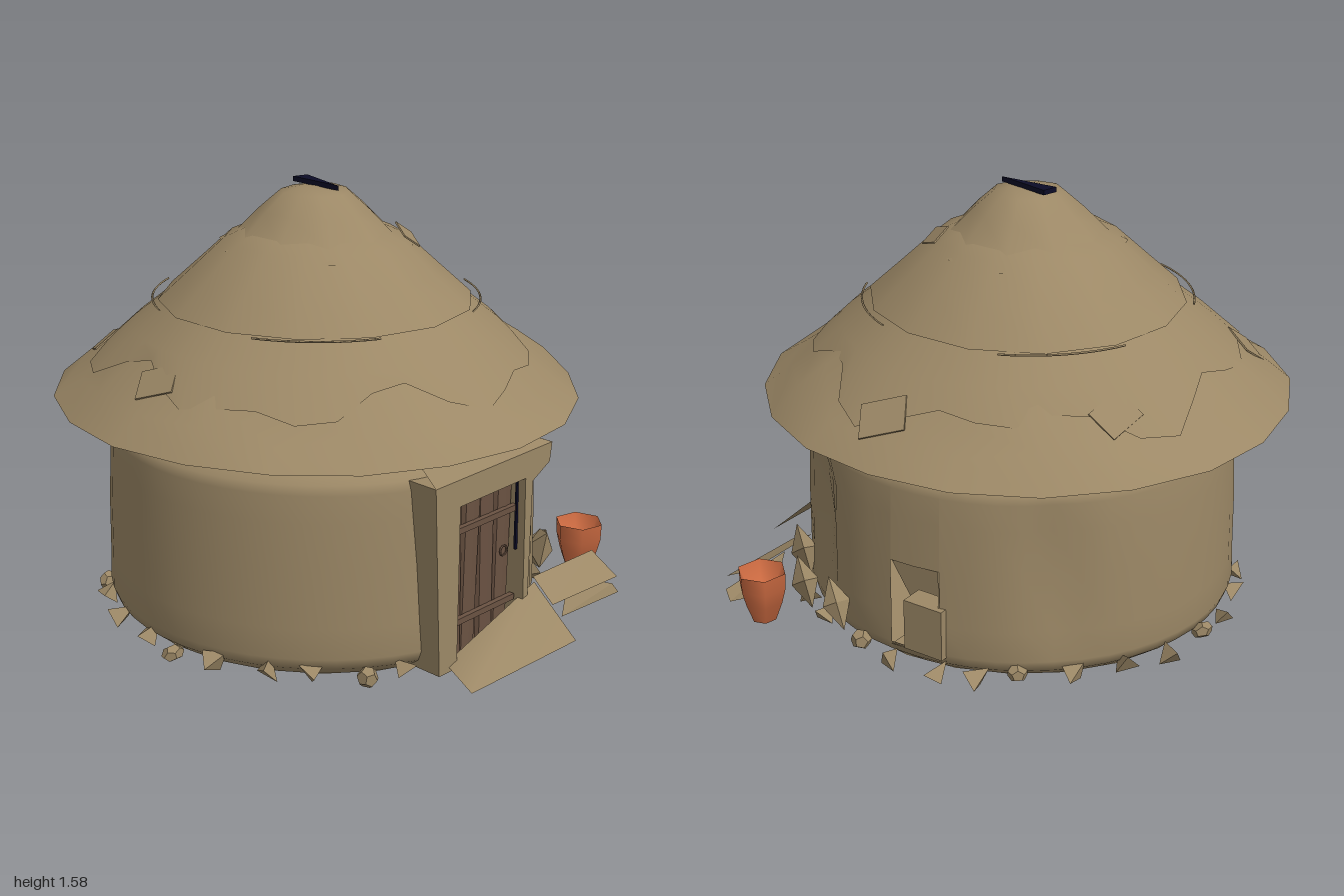
import * as THREE from 'three';
import { mergeVertices } from 'three/addons/utils/BufferGeometryUtils.js';

const paint = (name, color, flatShading = false) => {
  const m = new THREE.MeshStandardMaterial({ color, side: THREE.DoubleSide, flatShading });
  m.name = name;
  return m;
};

export function createModel() {
  const hut = new THREE.Group();
  hut.name = 'hut';
  const clay = paint('clay', 0x9c8866);
  const stone = paint('stone', 0x9c8866, true);
  const wood = paint('wood', 0x6a5242, true);
  const terracotta = paint('terracotta', 0xcb6a41);
  const dark = paint('darkGap', 0x0c0c26, true);

  let seed = 11;
  const rand = () => (seed = (seed * 16807) % 2147483647) / 2147483647;
  const between = (a, b) => a + (b - a) * rand();

  const add = (name, geo, mat, x = 0, y = 0, z = 0, parent = hut) => {
    const mesh = new THREE.Mesh(geo, mat);
    mesh.name = name;
    mesh.position.set(x, y, z);
    parent.add(mesh);
    return mesh;
  };

  const points = list => list.map(p => new THREE.Vector2(...p));

  // Turned surface whose vertices are moved by a rule (angle, radius, height)
  const turned = (pts, seg, rule, from = 0, len = Math.PI * 2) => {
    let g = new THREE.LatheGeometry(points(pts), seg, from, len);
    g.deleteAttribute('uv');
    g.deleteAttribute('normal');
    g = mergeVertices(g, 1e-4);
    const p = g.attributes.position;
    for (let i = 0; i < p.count; i++) {
      const a = Math.atan2(p.getX(i), p.getZ(i));
      const [r, y] = rule(a, Math.hypot(p.getX(i), p.getZ(i)), p.getY(i));
      p.setXYZ(i, Math.sin(a) * r, y, Math.cos(a) * r);
    }
    g.computeVertexNormals();
    return g;
  };

  // Flat or warped four-cornered sheet
  const sheet = (...corners) => {
    const g = new THREE.BufferGeometry();
    g.setAttribute('position', new THREE.Float32BufferAttribute(corners.flat(), 3));
    g.setIndex([0, 1, 2, 0, 2, 3]);
    g.computeVertexNormals();
    return g;
  };

  // Wall: curved panels around the door and the window, with soft vertical folds
  const wall = new THREE.Group();
  wall.name = 'wall';
  wall.scale.z = 1.02;
  hut.add(wall);
  const foot = [[0.72, 0.03], [0.77, 0.07], [0.785, 0.11]];
  const top = [[0.768, 0.7], [0.76, 0.735], [0.72, 0.765], [0.6, 0.83], [0.5, 0.9]];
  const full = [...foot, [0.782, 0.22], [0.78, 0.43], [0.772, 0.6], ...top];
  const fold = (a, r, y) => {
    const h = Math.sin(Math.PI * Math.min(1, Math.max(0, (y - 0.08) / 0.7)));
    const groove = (c, w) => Math.exp(-(((a - c) / w) ** 2));
    return [r - h * (0.07 * groove(0.95, 0.13) + 0.03 * groove(2.3, 0.13)), y];
  };
  const doorL = 0.4, doorR = 0.22, win0 = 1.545, win1 = 1.79;
  const panel = (name, pts, a, b) =>
    add(name, turned(pts, Math.max(2, Math.round((b - a) * 8)), fold, a, b - a), clay, 0, 0, 0, wall);
  panel('wallFrontLeft', full, doorL, win0);
  panel('wallRest', full, win1, Math.PI * 2 - doorR);
  panel('wallOverDoor', [[0.77, 0.64], ...top], -doorR, doorL);
  panel('wallUnderWindow', foot, win0, win1);
  panel('wallOverWindow', [[0.78, 0.43], [0.772, 0.6], ...top], win0, win1);
  const floor = add('floor', new THREE.CircleGeometry(0.725, 24), clay, 0, 0.03, 0, wall);
  floor.rotation.x = Math.PI / 2;

  // Window recess, slanting inwards, and the sill block inside it
  add('windowBack', sheet([0.775, 0.43, 0.02], [0.6, 0.1, 0.02], [0.45, 0.1, -0.17], [0.62, 0.43, -0.17]), clay);
  add('windowCeiling', sheet([0.78, 0.43, 0.02], [0.62, 0.43, -0.17], [0.765, 0.43, -0.17], [0.775, 0.43, -0.08]), clay);
  add('windowJamb', sheet([0.765, 0.43, -0.17], [0.62, 0.43, -0.17], [0.45, 0.1, -0.17], [0.77, 0.1, -0.17]), clay);
  add('windowFloor', sheet([0.785, 0.1, 0.02], [0.77, 0.1, -0.17], [0.45, 0.1, -0.17], [0.6, 0.1, 0.02]), clay);
  add('windowSill', new THREE.BoxGeometry(0.09, 0.19, 0.16), clay, 0.74, 0.195, -0.115);

  // Door surround with a narrow left post and a slanted reveal behind it
  const frame = new THREE.Shape(points([[-0.26, 0.04], [-0.17, 0.04], [-0.17, 0.64], [0.17, 0.65],
    [0.18, 0.04], [0.2, 0.04], [0.21, 0.63], [0.3, 0.68], [0.31, 0.75], [-0.295, 0.735]]));
  add('doorFrame', new THREE.ExtrudeGeometry(frame, { depth: 0.17, bevelEnabled: false }), clay, 0, 0, 0.665);
  add('postReveal', sheet([0.2, 0.04, 0.81], [0.3, 0.04, 0.64], [0.3, 0.7, 0.68], [0.21, 0.64, 0.834]), clay);
  add('postReturn', sheet([0.3, 0.04, 0.64], [0.3, 0.04, 0.72], [0.302, 0.7, 0.74], [0.3, 0.7, 0.68]), clay);
  add('frameHood', sheet([-0.295, 0.735, 0.835], [0.31, 0.75, 0.835], [0.22, 0.79, 0.66], [-0.22, 0.79, 0.66]), clay);

  // Door planks, battens and ring
  for (let i = 0; i < 4; i++) {
    const plank = add('doorPlank', new THREE.CylinderGeometry(0.045, 0.041, 0.6, 7), wood, -0.127 + i * 0.084, 0.345, 0.765);
    plank.scale.z = 0.4;
    plank.rotation.z = [0.02, -0.025, 0.015, -0.02][i];
  }
  for (const y of [0.19, 0.53])
    add('doorBatten', new THREE.BoxGeometry(0.34, 0.022, 0.02), wood, 0, y, 0.79).rotation.z = 0.015;
  add('doorRing', new THREE.TorusGeometry(0.018, 0.004, 5, 10), wood, 0.12, 0.38, 0.787);
  add('doorGap', new THREE.BoxGeometry(0.014, 0.27, 0.008), dark, 0.17, 0.51, 0.8);
  add('doorBackdrop', new THREE.BoxGeometry(0.35, 0.61, 0.006), wood, 0, 0.345, 0.74);

  // Warped doorstep
  add('doorstep', sheet([-0.28, 0.045, 1], [0.28, 0.05, 1], [0.27, 0.22, 0.81], [-0.2, 0.06, 0.81]), clay);

  // Thatched roof: overlapping tiers with ragged edges
  const roof = new THREE.Group();
  roof.name = 'roof';
  roof.position.z = -0.027;
  roof.scale.x = 0.985;
  hut.add(roof);
  const wave = a => Math.sin(3 * a + 1) * 0.6 + Math.sin(7 * a) * 0.4;
  const ragged = a => Math.sin(5 * a + 0.6) + Math.sin(9 * a + 2);
  add('roofEave', turned([[0.965, 0.832], [0.86, 0.915], [0.76, 0.985], [0.55, 1.14], [0.4, 1.26]], 20,
    (a, r, y) => r > 0.95 ? [r + 0.008 * wave(a), y]
      : [r, y + (r > 0.7 ? 0.014 * ragged(a + 0.5) : 0)]), clay, 0, 0, 0, roof);
  add('roofUnderside', turned([[0.955, 0.834], [0.78, 0.9], [0.6, 0.97], [0.45, 1.0]], 20,
    (a, r, y) => [r, y + (r < 0.9 ? 0.012 * wave(a) : 0)]), clay, 0, 0, 0, roof);
  add('roofLowerTier', turned([[0.775, 0.984], [0.67, 1.08], [0.53, 1.19], [0.4, 1.3]], 36,
    (a, r, y) => r > 0.7 ? [r + 0.04 * ragged(a), y - 0.033 * ragged(a)] : [r, y + 0.006 * wave(a)]), clay, 0, 0, 0, roof);
  add('roofMiddleTier', turned([[0.575, 1.172], [0.45, 1.285], [0.33, 1.395], [0.25, 1.43]], 14,
    (a, r, y) => [r + 0.01 * wave(a), y]), clay, 0, 0, 0, roof);
  add('roofCap', turned([[0.355, 1.372], [0.29, 1.405], [0.2, 1.495], [0.125, 1.56], [0.06, 1.572], [0, 1.575]], 10,
    (a, r, y) => [r + (r > 0.1 ? 0.012 * wave(a) : 0), y]), clay, 0, 0, 0, roof);

  // Thin thatch bands on the diagonals
  for (let i = 0; i < 4; i++) {
    const band = add('thatchBand', new THREE.TorusGeometry(0.597, 0.004, 4, 12, 0.75), clay, 0, 1.174, 0, roof);
    band.rotation.set(Math.PI / 2, 0, Math.PI / 4 + i * Math.PI / 2 - 0.375);
  }

  // Loose thatch patches lying on the slope: angle, radius, height, size
  for (const [a, r, y, s] of [[0.7, 0.33, 1.405, 0.1], [1.5, 0.8, 0.965, 0.17], [-1.6, 0.75, 1.005, 0.15],
    [2.55, 0.75, 1.005, 0.15], [-2.5, 0.8, 0.965, 0.14]]) {
    const patch = add('thatchPatch', new THREE.BoxGeometry(s, 0.006, s * 0.8), clay, Math.sin(a) * r, y, Math.cos(a) * r, roof);
    patch.rotation.order = 'YXZ';
    patch.rotation.set(0.7, a, 0);
    patch.rotateY(0.5);
  }

  // Dark sliver on the peak
  const sliver = new THREE.Shape(points([[0, -0.085], [0.057, 0.13], [0, 0.145]]));
  const peak = add('peakSliver', new THREE.ExtrudeGeometry(sliver, { depth: 0.018, bevelEnabled: false }), dark, 0, 1.573, 0);
  peak.rotation.x = -Math.PI / 2;

  // Pot, open at the top
  const pot = new THREE.Group();
  pot.name = 'pot';
  pot.position.set(0.815, 0, 0.585);
  pot.rotation.y = 0.3;
  hut.add(pot);
  for (const [name, profile] of [['potBase', [[0, 0.035], [0.046, 0.036]]],
    ['potBody', [[0.046, 0.036], [0.074, 0.11], [0.09, 0.17], [0.092, 0.232]]],
    ['potInside', [[0.092, 0.232], [0.06, 0.16], [0, 0.14]]]])
    add(name, new THREE.LatheGeometry(points(profile), 6), terracotta, 0, 0, 0, pot);

  // Broken slab and leaning stones beside the pot
  add('slabFace', sheet([0.37, 0.1, 0.82], [0.74, 0.1, 0.83], [0.75, 0.165, 0.7], [0.4, 0.165, 0.7]), stone);
  add('slabBase', sheet([0.4, 0.05, 0.84], [0.74, 0.04, 0.84], [0.795, 0.035, 0.77], [0.68, 0.06, 0.65]), stone);
  for (const [x, y, z, w, h] of [[0.56, 0.2, 0.6, 0.09, 0.1], [0.68, 0.15, 0.5, 0.07, 0.1], [0.78, 0.18, 0.27, 0.04, 0.1]]) {
    const lean = add('leaningStone', new THREE.OctahedronGeometry(1), stone, x, y, z);
    lean.scale.set(w, h, 0.05);
    lean.rotation.set(0.3, 0.8, 0.35);
  }

  // Ring of broken stones at the foot of the wall
  for (let i = 0; i < 26; i++) {
    const a = 0.45 + (i / 25) * (Math.PI * 2 - 0.85) + between(-0.05, 0.05);
    const r = between(0.78, 0.83);
    const geo = i % 4 ? new THREE.TetrahedronGeometry(0.062) : new THREE.DodecahedronGeometry(0.047);
    const rock = add('footStone', geo, stone, Math.sin(a) * r, between(0.05, 0.07), Math.cos(a) * r);
    rock.scale.set(between(0.8, 1.2), between(0.6, 0.9), between(0.5, 0.9));
    rock.rotation.set(between(-0.4, 0.4), between(0, 6), between(-0.4, 0.4));
  }
  return hut;
}
